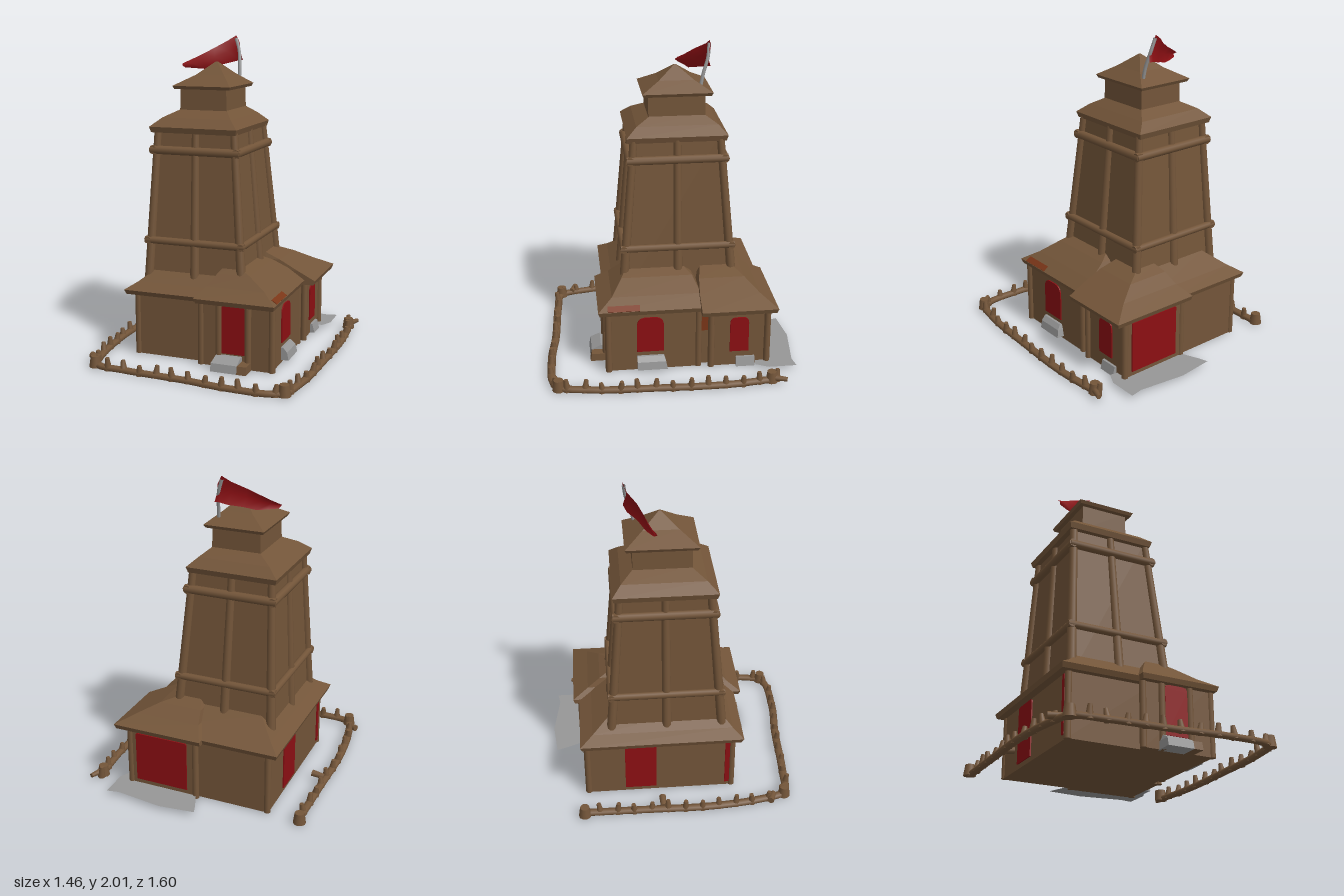
import * as THREE from 'three';

const mat = (name, color, extra = {}) => Object.assign(new THREE.MeshStandardMaterial({ color, ...extra }), { name });

export function createModel() {
  const wood = mat('brown wood', 0x735539);
  const red = mat('red cloth', 0x8c0f13, { side: THREE.DoubleSide });
  const grey = mat('grey stone', 0x979797, { side: THREE.DoubleSide });
  const rust = mat('rust', 0x7a3618);
  const root = new THREE.Group();

  const add = (name, geo, m, x = 0, y = 0, z = 0) => {
    const mesh = new THREE.Mesh(geo, m);
    mesh.name = name;
    mesh.position.set(x, y, z);
    root.add(mesh);
    return mesh;
  };
  const box = (name, m, x0, x1, y0, y1, z0, z1) =>
    add(name, new THREE.BoxGeometry(x1 - x0, y1 - y0, z1 - z0), m, (x0 + x1) / 2, (y0 + y1) / 2, (z0 + z1) / 2);

  // Stack of rectangles [y, x0, x1, z0, z1], skinned with flat faces and capped
  const loft = (name, rows, m = wood) => {
    const rings = rows.map(([y, x0, x1, z0, z1]) => [[x0, y, z1], [x1, y, z1], [x1, y, z0], [x0, y, z0]]);
    const pos = [];
    const quad = (a, b, c, d) => pos.push(...a, ...b, ...c, ...a, ...c, ...d);
    for (let i = 0; i + 1 < rings.length; i++) {
      const lo = rings[i], hi = rings[i + 1];
      for (let k = 0; k < 4; k++) quad(lo[k], lo[(k + 1) % 4], hi[(k + 1) % 4], hi[k]);
    }
    const [a, b, c, d] = rings[0];
    quad(d, c, b, a);
    quad(...rings[rings.length - 1]);
    const geo = new THREE.BufferGeometry();
    geo.setAttribute('position', new THREE.Float32BufferAttribute(pos, 3));
    geo.computeVertexNormals();
    return add(name, geo, m);
  };

  // Round log between two points
  const log = (name, p, q, r0, r1 = r0, m = wood) => {
    const a = new THREE.Vector3(...p), b = new THREE.Vector3(...q), dir = b.clone().sub(a);
    const mesh = add(name, new THREE.CylinderGeometry(r1, r0, dir.length(), 10), m);
    mesh.position.copy(a).add(b).multiplyScalar(0.5);
    mesh.quaternion.setFromUnitVectors(new THREE.Vector3(0, 1, 0), dir.normalize());
    return mesh;
  };

  // Thin door panel with a rounded head
  const door = (name, w, h, arch, x, y, z, turn) => {
    const s = new THREE.Shape();
    s.moveTo(-w / 2, 0);
    s.lineTo(w / 2, 0);
    s.lineTo(w / 2, h - arch);
    s.quadraticCurveTo(w / 2, h, w / 2 - arch, h);
    s.lineTo(-w / 2 + arch, h);
    s.quadraticCurveTo(-w / 2, h, -w / 2, h - arch);
    const geo = new THREE.ExtrudeGeometry(s, { depth: 0.008, bevelEnabled: false, curveSegments: 6 });
    add(name, geo, red, x, y, z).rotation.y = turn;
  };

  // Ground floor walls
  loft('mainWalls', [[0, -0.48, 0.1, -0.58, 0.37], [0.43, -0.48, 0.1, -0.58, 0.37]]);
  loft('frontAnnexWalls', [[0, -0.02, 0.44, -0.17, 0.42], [0.43, -0.02, 0.44, -0.17, 0.42]]);
  loft('backAnnexWalls', [[0, 0, 0.45, -0.61, -0.23], [0.43, 0, 0.45, -0.61, -0.23]]);
  box('notchWall', wood, 0, 0.41, 0, 0.43, -0.24, -0.15);
  box('notchPatch', rust, 0.408, 0.415, 0.24, 0.37, -0.225, -0.175);
  for (const [x, z] of [[-0.47, 0.36], [-0.47, -0.57], [-0.02, 0.41], [0.44, 0.41], [0.43, -0.16],
    [0.45, -0.24], [0.45, -0.6], [0, -0.6], [0.1, 0.42], [0.29, 0.42]])
    log('wallPost', [x, 0, z], [x, 0.42, z], 0.021);

  // Flared hipped roofs
  loft('mainRoof', [[0.395, -0.53, 0.1, -0.6, 0.41], [0.425, -0.54, 0.1, -0.61, 0.425],
    [0.47, -0.47, 0.12, -0.53, 0.36], [0.56, -0.36, 0.15, -0.4, 0.26]]);
  loft('frontAnnexRoof', [[0.4, -0.04, 0.46, -0.2, 0.46], [0.43, -0.05, 0.47, -0.2, 0.47],
    [0.49, 0, 0.38, -0.18, 0.38], [0.56, 0.05, 0.26, -0.14, 0.31], [0.6, 0.08, 0.17, -0.08, 0.27]]);
  loft('backAnnexRoof', [[0.4, -0.05, 0.53, -0.64, -0.17], [0.43, -0.05, 0.54, -0.65, -0.17],
    [0.49, 0, 0.42, -0.55, -0.17], [0.55, 0.02, 0.3, -0.47, -0.18], [0.59, 0.05, 0.19, -0.4, -0.2]]);
  const eavePatch = box('eavePatch', rust, 0.43, 0.472, 0.441, 0.447, 0.21, 0.41);
  eavePatch.rotation.z = -0.59;
  const pale = box('roofPatch', grey, -0.46, -0.38, 0.438, 0.444, 0.365, 0.425);
  pale.rotation.x = 0.6;

  // Doors and steps
  door('frontDoor', 0.15, 0.31, 0.03, 0.195, 0.09, 0.42, 0);
  door('sideDoor', 0.17, 0.24, 0.06, 0.44, 0.13, 0.145, Math.PI / 2);
  door('sideBackDoor', 0.12, 0.24, 0.04, 0.45, 0.1, -0.42, Math.PI / 2);
  door('backDoor', 0.35, 0.33, 0.01, 0.23, 0.05, -0.61, Math.PI);
  door('farSideDoor', 0.2, 0.36, 0.02, -0.48, 0.03, -0.23, -Math.PI / 2);
  door('farSideFrontDoor', 0.03, 0.36, 0.01, -0.48, 0.03, 0.33, -Math.PI / 2);
  loft('frontStep', [[0, 0.08, 0.25, 0.4, 0.52], [0.05, 0.08, 0.25, 0.4, 0.51], [0.08, 0.09, 0.25, 0.4, 0.45]], grey);
  loft('frontStepBlock', [[0, 0.25, 0.31, 0.4, 0.52], [0.05, 0.25, 0.31, 0.4, 0.51]]);
  loft('sideStep', [[0.02, 0.43, 0.49, 0.04, 0.23], [0.07, 0.43, 0.48, 0.05, 0.23], [0.1, 0.43, 0.455, 0.06, 0.23]], grey);
  loft('sideBackStep', [[0, 0.43, 0.48, -0.52, -0.4], [0.06, 0.43, 0.465, -0.52, -0.4]], grey);

  // Thin apron behind the back door
  const apron = new THREE.Shape([[0.5, 0.52], [0.54, 0.6], [0.54, 0.78], [0.46, 0.765], [0.16, 0.805],
    [-0.07, 0.78], [-0.05, 0.72], [0, 0.6]].map(p => new THREE.Vector2(...p)));
  add('backApron', new THREE.ShapeGeometry(apron), grey, 0, 0.02, 0).rotation.x = -Math.PI / 2;

  // Tapering tower
  const rect = y => {
    const t = (y - 0.45) / 0.98, mix = (a, b) => a + (b - a) * t;
    return [y, mix(-0.425, -0.385), mix(0.205, 0.12), mix(-0.41, -0.33), mix(0.295, 0.21)];
  };
  loft('towerWalls', [rect(0.4), rect(1.45)]);
  const ring = y => {
    const [, x0, x1, z0, z1] = rect(y), xm = (x0 + x1) / 2, zm = (z0 + z1) / 2;
    return [[x0, z0], [xm, z0], [x1, z0], [x1, zm], [x1, z1], [xm, z1], [x0, z1], [x0, zm]];
  };
  const foot = ring(0.45), head = ring(1.43);
  foot.forEach(([x, z], i) =>
    log('towerPost', [x, 0.45, z], [head[i][0], 1.43, head[i][1]], 0.03, 0.024));
  for (const [y, r] of [[0.73, 0.023], [1.3, 0.027]]) {
    const [, x0, x1, z0, z1] = rect(y), o = 0.035, d = 0.015;
    for (const z of [z0 - d, z1 + d]) log('towerBeam', [x0 - o, y, z], [x1 + o, y, z], r);
    for (const x of [x0 - d, x1 + d]) log('towerBeam', [x, y, z0 - o], [x, y, z1 + o], r);
  }

  // Upper roofs and lantern room
  loft('towerRoof', [[1.41, -0.42, 0.14, -0.365, 0.245], [1.445, -0.43, 0.15, -0.375, 0.255],
    [1.5, -0.365, 0.09, -0.32, 0.19], [1.55, -0.27, 0.03, -0.24, 0.1]]);
  loft('lanternWalls', [[1.5, -0.28, 0.035, -0.245, 0.11], [1.7, -0.275, 0.03, -0.245, 0.11]]);
  loft('topRoof', [[1.675, -0.305, 0.06, -0.28, 0.14], [1.695, -0.315, 0.07, -0.29, 0.15],
    [1.76, -0.2, -0.01, -0.18, 0.04], [1.84, -0.105, -0.095, -0.075, -0.065]]);

  // Bent flagpole
  const pole = new THREE.CatmullRomCurve3([[0, 1.7, -0.215], [-0.005, 1.8, -0.235], [-0.02, 1.9, -0.265],
    [-0.045, 1.98, -0.275]].map(p => new THREE.Vector3(...p)));
  add('flagpole', new THREE.TubeGeometry(pole, 12, 0.011, 8), grey);

  // Waving flag: columns of [x, z, top, bottom]
  const cols = [[-0.02, -0.28, 1.95, 1.84], [-0.045, -0.28, 2, 1.84], [-0.1, -0.262, 1.965, 1.825],
    [-0.17, -0.205, 1.92, 1.805], [-0.24, -0.17, 1.88, 1.785], [-0.3, -0.15, 1.85, 1.79], [-0.36, -0.12, 1.82, 1.795]];
  const cloth = new THREE.PlaneGeometry(1, 1, cols.length - 1, 2), fp = cloth.attributes.position;
  for (let i = 0; i < fp.count; i++) {
    const [x, z, top, low] = cols[i % cols.length], v = Math.floor(i / cols.length) / 2;
    fp.setXYZ(i, x + 0.02 * v, top + (low - top) * v, z + 0.02 * Math.sin(v * Math.PI));
  }
  cloth.computeVertexNormals();
  add('flag', cloth, red);

  // Fence: rail along three sides, with short leaning stakes
  const path = new THREE.CatmullRomCurve3([[-0.68, -0.61], [-0.685, -0.2], [-0.69, 0.2], [-0.655, 0.52], [-0.6, 0.69],
    [-0.4, 0.72], [0, 0.74], [0.3, 0.77], [0.6, 0.74], [0.66, 0.55], [0.69, 0.1], [0.7, -0.3], [0.67, -0.62]]
    .map(([x, z]) => new THREE.Vector3(x, 0.018, z)));
  const rail = add('fenceRail', new THREE.TubeGeometry(path, 80, 0.026, 8), wood);
  rail.scale.y = 0.75;
  const count = 36;
  for (let i = 0; i <= count; i++) {
    const p = path.getPointAt(i / count), h = 0.06 + 0.02 * Math.abs(Math.sin(i * 2.3));
    log('fenceStake', [p.x, 0, p.z], [p.x + 0.01 * Math.sin(i * 1.7), h, p.z + 0.01 * Math.cos(i * 2.9)], 0.025, 0.013);
  }
  for (const [x, z] of [[-0.61, 0.69], [0.62, 0.73], [-0.69, -0.6], [0.67, -0.59]])
    log('fenceCorner', [x, 0, z], [x, 0.07, z], 0.04, 0.03);
  log('looseStake', [-0.68, 0.03, -0.1], [-0.6, 0.04, -0.1], 0.018, 0.022);
  log('looseStake', [-0.69, 0.03, 0.59], [-0.62, 0.03, 0.62], 0.022, 0.018);
  log('looseStake', [0.68, 0.03, -0.6], [0.71, 0.03, -0.68], 0.02, 0.014);

  return root;
}
